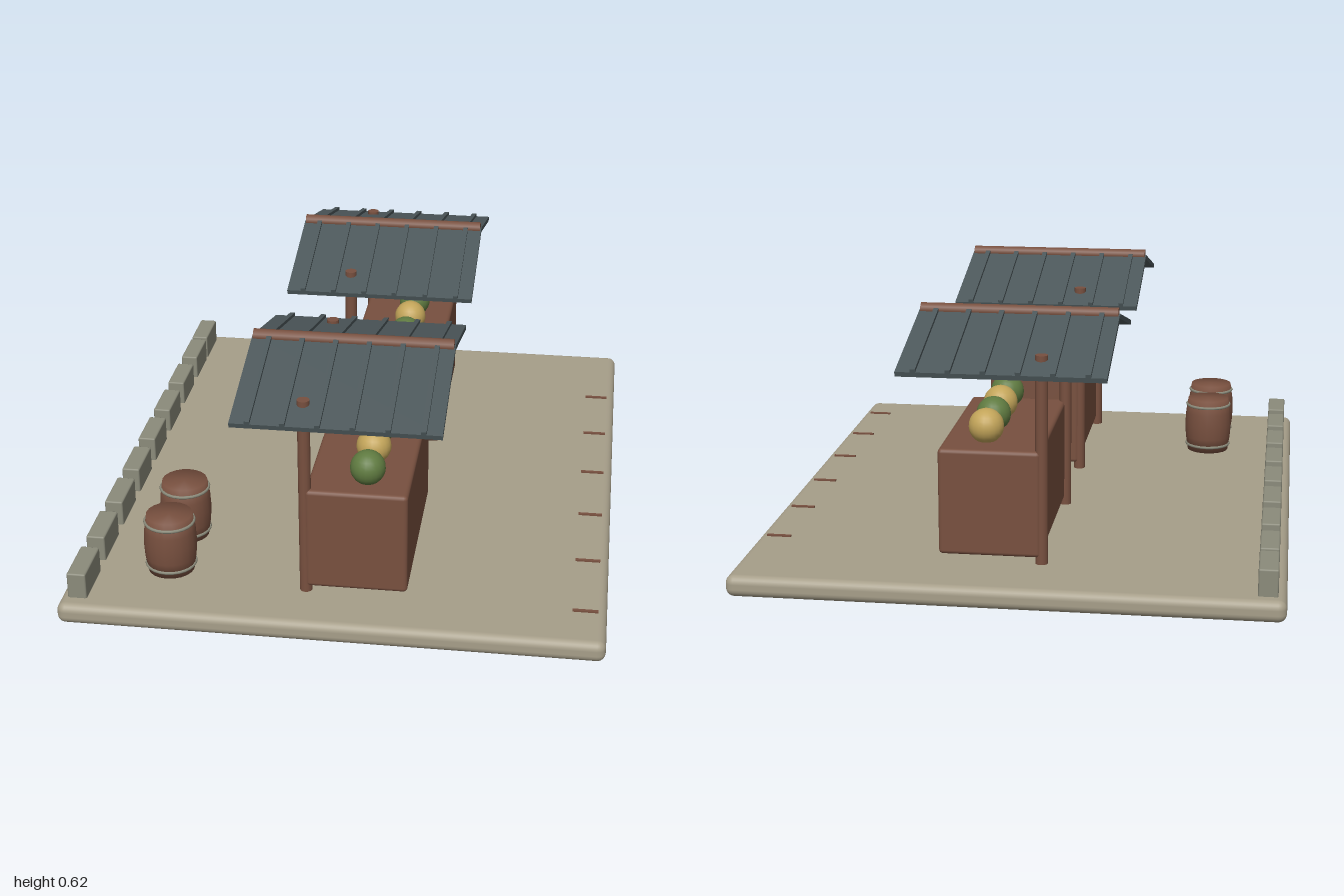
import * as THREE from 'three';
import { RoundedBoxGeometry } from 'three/addons/geometries/RoundedBoxGeometry.js';

const mat = (name, color) => {
  const m = new THREE.MeshStandardMaterial({ color });
  m.name = name;
  return m;
};

export function createModel() {
  const ground = mat('sandy paving', 0xa69e89);
  const stone = mat('grey stone', 0x8b8b7b);
  const wood = mat('brown wood', 0x78503f);
  const slate = mat('slate roof', 0x4d585b);
  const green = mat('green fruit', 0x5f7a40);
  const yellow = mat('yellow fruit', 0xc2a459);

  const model = new THREE.Group();
  model.name = 'marketSquare';
  // the square sits diagonally
  const square = new THREE.Group();
  square.name = 'square';
  square.rotation.y = Math.PI / 4;
  model.add(square);

  const add = (parent, name, geo, material, x, y, z) => {
    const m = new THREE.Mesh(geo, material);
    m.name = name;
    m.position.set(x, y, z);
    parent.add(m);
    return m;
  };

  // paved slab
  add(square, 'slab', new RoundedBoxGeometry(1.57, 0.052, 1.286, 3, 0.02), ground, 0, 0.026, 0);

  // low wall of separate blocks along the back
  const block = new RoundedBoxGeometry(0.13, 0.07, 0.046, 1, 0.004);
  for (let i = 0; i < 9; i++) {
    add(square, 'wallBlock', block, stone, Math.min(-0.68 + i * 0.1745, 0.685), 0.081, -0.6);
  }

  // thin wooden markers along the front edge
  const marker = new THREE.BoxGeometry(0.008, 0.012, 0.06);
  for (let i = 0; i < 6; i++) {
    add(square, 'edgeMarker', marker, wood, -0.648 + i * 0.228, 0.05, 0.592);
  }

  // market stalls
  const half = 0.305, drop = 0.082, depth = 0.484;
  const slope = Math.atan2(drop, half), length = Math.hypot(half, drop);
  const panel = new THREE.BoxGeometry(length, 0.012, depth);
  const batten = new THREE.BoxGeometry(length, 0.01, 0.012);
  const post = new THREE.CylinderGeometry(0.015, 0.015, 0.508, 12);
  const fruit = new THREE.SphereGeometry(0.042, 20, 14);
  const counter = new RoundedBoxGeometry(0.488, 0.257, 0.242, 2, 0.01);
  const ridge = new THREE.CylinderGeometry(0.016, 0.016, 0.478, 12).rotateX(Math.PI / 2);

  for (const x of [-0.406, 0.37]) {
    const stall = new THREE.Group();
    stall.name = 'stall';
    stall.position.x = x;
    square.add(stall);

    add(stall, 'counter', counter, wood, 0, 0.197, 0.052);
    for (let i = 0; i < 4; i++) {
      add(stall, 'fruit', fruit, i % 2 ? yellow : green, -0.173 + i * 0.109, 0.361, 0.071);
    }
    for (const side of [-1, 1]) {
      add(stall, 'post', post, wood, side * 0.228, 0.3, -0.07);
      // each roof side carries battens running down the slope
      const roof = new THREE.Group();
      roof.name = 'roofSide';
      roof.position.set(side * half / 2, 0.599 - drop / 2, 0.014);
      roof.rotation.z = -side * slope;
      stall.add(roof);
      add(roof, 'roofPanel', panel, slate, 0, 0, 0);
      for (let i = 0; i < 6; i++) {
        add(roof, 'roofBatten', batten, slate, 0, 0.009, -0.2 + i * 0.08);
      }
    }
    add(stall, 'ridgePole', ridge, wood, 0, 0.604, 0.014);
  }

  // barrels with hoops
  const profile = [[0, 0], [0.056, 0], [0.062, 0.04], [0.064, 0.075], [0.062, 0.11], [0.056, 0.15], [0, 0.15]]
    .map(([r, y]) => new THREE.Vector2(r, y));
  const barrelGeo = new THREE.LatheGeometry(profile, 20);
  const hoop = new THREE.TorusGeometry(0.059, 0.004, 6, 24).rotateX(Math.PI / 2);
  for (const x of [-0.41, -0.578]) {
    const barrel = new THREE.Group();
    barrel.name = 'barrel';
    barrel.position.set(x, 0.051, -0.41);
    square.add(barrel);
    add(barrel, 'barrelBody', barrelGeo, wood, 0, 0, 0);
    for (const y of [0.018, 0.132]) add(barrel, 'barrelHoop', hoop, stone, 0, y, 0);
  }

  return model;
}
